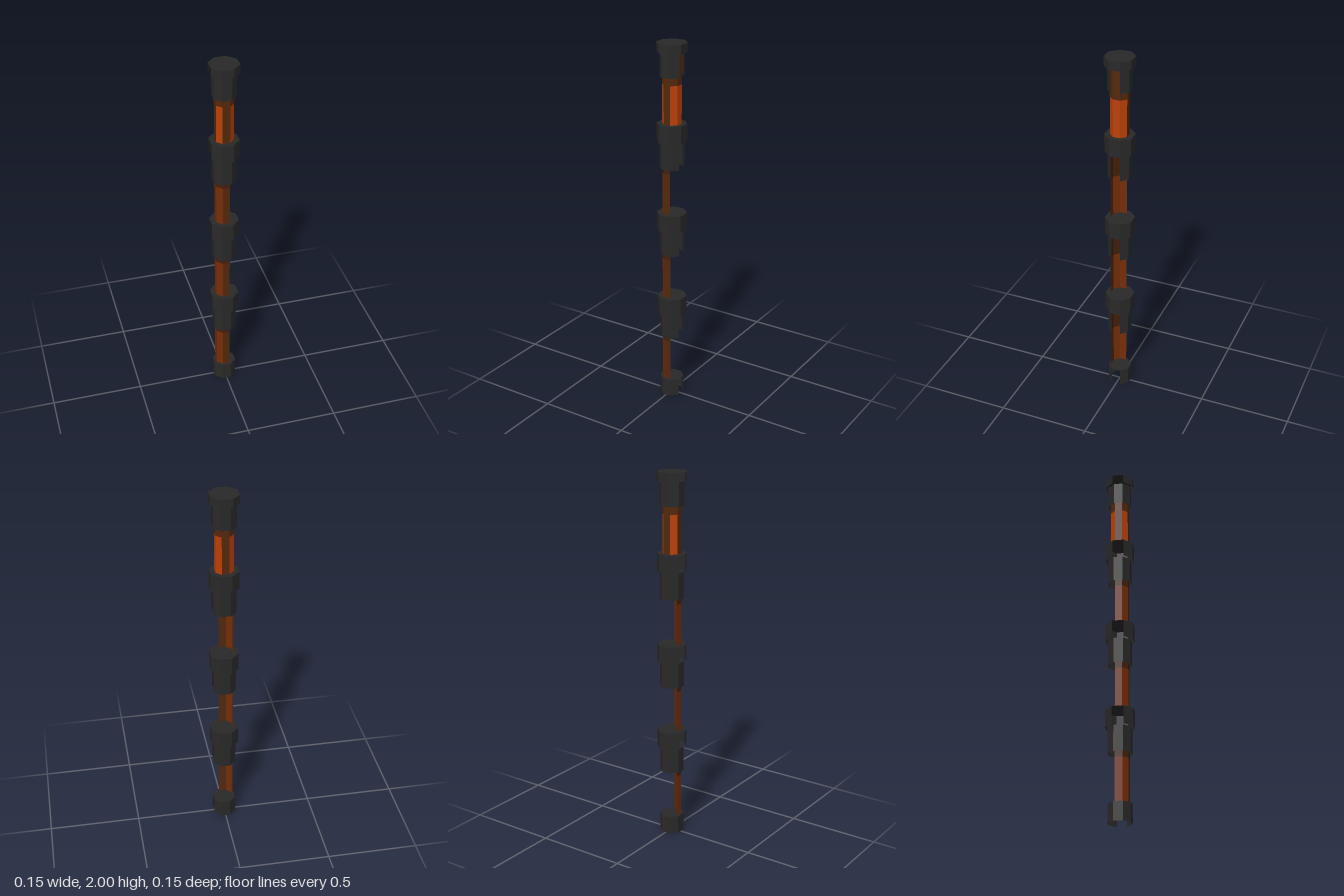
import * as THREE from 'three';

const mat = (name, color) =>
  new THREE.MeshStandardMaterial({ name, color, flatShading: true, side: THREE.DoubleSide });

export function createModel() {
  const model = new THREE.Group();
  model.name = 'segmentedPole';
  const charcoal = mat('charcoal', 0x292929);
  const orange = mat('orange', 0xbc4108);
  const rust = mat('rust', 0x752d07);
  const brown = mat('brown', 0x55280c);
  const darkBrown = mat('darkBrown', 0x43200c);
  const STEP = Math.PI / 4;
  const radius = (apothem) => apothem / Math.cos(STEP / 2);

  // Open octagonal shell; side 0 faces +z, 2 faces +x, 4 faces -z, 6 faces -x
  function shell(name, parent, material, apothem, y0, y1, first, count) {
    const r = radius(apothem);
    const geo = new THREE.CylinderGeometry(r, r, y1 - y0, count, 1, true, (first - 0.5) * STEP, count * STEP);
    const mesh = new THREE.Mesh(geo, material);
    mesh.name = name;
    mesh.position.y = (y0 + y1) / 2;
    parent.add(mesh);
  }

  // Flat octagonal lid
  function lid(name, parent, apothem, y) {
    const geo = new THREE.CircleGeometry(radius(apothem), 8, STEP / 2).rotateX(-Math.PI / 2);
    const mesh = new THREE.Mesh(geo, charcoal);
    mesh.name = name;
    mesh.position.y = y;
    parent.add(mesh);
  }

  // Foot: open below and on its +x side
  const foot = new THREE.Group();
  foot.name = 'foot';
  shell('footWall', foot, charcoal, 0.06, 0, 0.1, 3, 7);
  lid('footLid', foot, 0.06, 0.1);
  model.add(foot);

  // Collars: slotted sleeve under a wider flange
  const collars = [
    [0.362, 0.502, 0.6],
    [0.852, 0.992, 1.087],
    [1.338, 1.48, 1.578],
    [1.826, 1.952, 2.0],
  ];
  for (const [bottom, middle, top] of collars) {
    const collar = new THREE.Group();
    collar.name = 'collar';
    shell('sleeve', collar, charcoal, 0.06, bottom, middle, 3, 7);
    lid('sleeveLid', collar, 0.06, middle);
    shell('flange', collar, charcoal, 0.074, middle, top, 7, 7);
    lid('flangeLid', collar, 0.074, top);
    model.add(collar);
  }

  // Lower shafts: three-sided troughs open toward +x and -z, darker at the top
  [[0.1, 0.335, 0.502], [0.6, 0.825, 0.992], [1.087, 1.31, 1.48]].forEach(([y0, band, y1]) => {
    const shaft = new THREE.Group();
    shaft.name = 'lowerShaft';
    shell('sideAndCornerStrip', shaft, rust, 0.047, y0, band, 6, 2);
    shell('frontStrip', shaft, brown, 0.047, y0, band, 0, 1);
    shell('topBand', shaft, darkBrown, 0.047, band, y1, 6, 3);
    model.add(shaft);
  });

  // Upper shaft: closed octagon with brown front, back and side strips
  const upper = new THREE.Group();
  upper.name = 'upperShaft';
  const strips = [brown, orange, orange, orange, brown, orange, brown, orange];
  strips.forEach((m, side) => shell('upperStrip', upper, m, 0.047, 1.578, 1.785, side, 1));
  shell('upperTopBand', upper, brown, 0.047, 1.785, 1.952, 0, 8);
  model.add(upper);

  return model;
}
